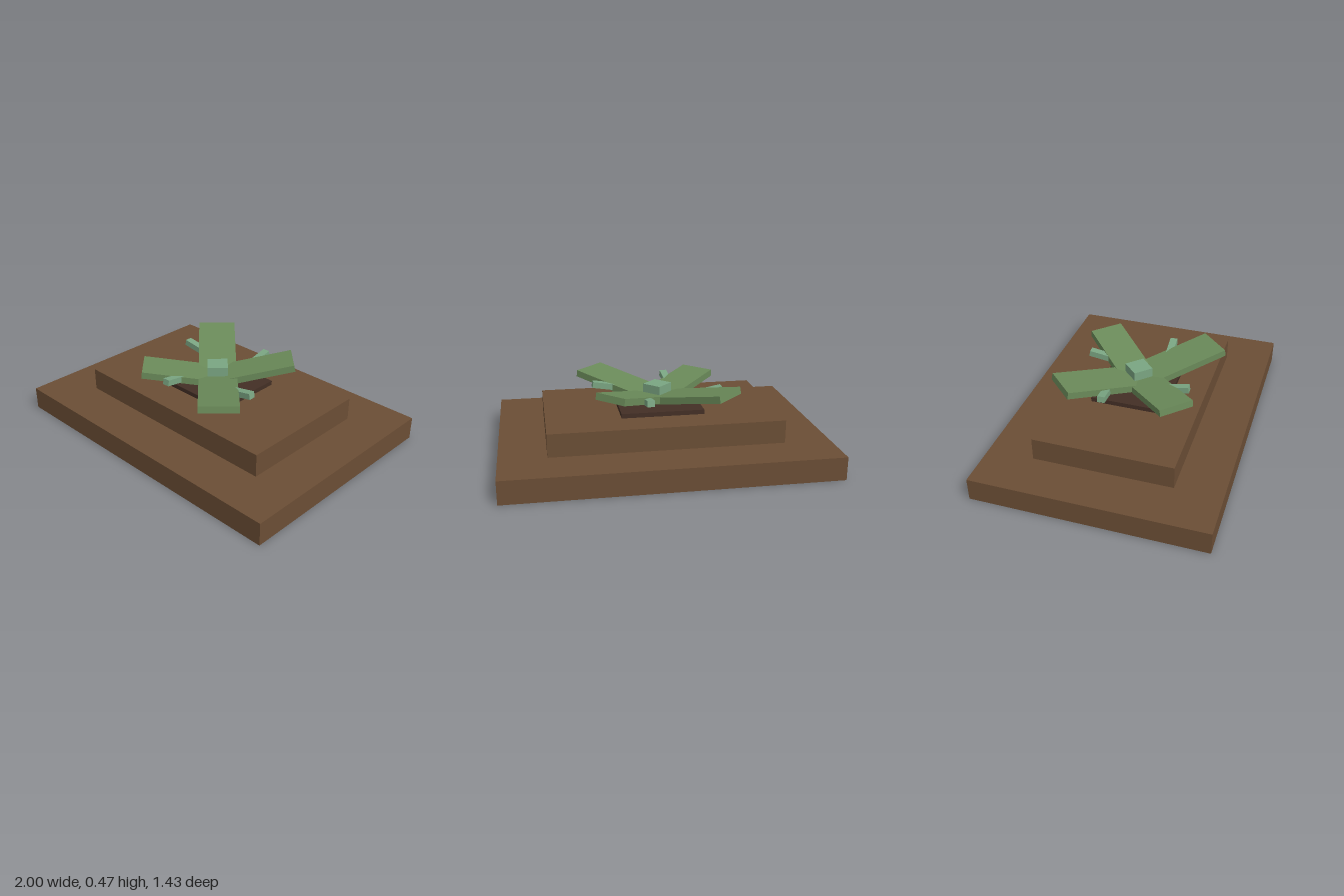
import * as THREE from 'three';

const material = (name, color) => {
  const m = new THREE.MeshStandardMaterial({ color });
  m.name = name;
  return m;
};

export function createModel() {
  const model = new THREE.Group();
  model.name = 'steppedPlinthWithPlant';
  const wood = material('brown wood', 0x6b4e35);
  const soil = material('dark soil', 0x432f25);
  const green = material('leaf green', 0x6a8a59);
  const mint = material('pale green', 0x7aa582);

  const box = (name, w, h, d, y, mat) => {
    const mesh = new THREE.Mesh(new THREE.BoxGeometry(w, h, d), mat);
    mesh.name = name;
    mesh.position.y = y;
    model.add(mesh);
    return mesh;
  };

  // Stepped base and soil slab
  box('lowerStep', 2, 0.143, 1.428, 0.0715, wood);
  box('upperStep', 1.428, 0.143, 0.856, 0.2145, wood);
  box('soilSlab', 0.512, 0.028, 0.456, 0.3, soil);

  // Broad leaves rising outward from the centre: [yaw, length, width, slope]
  const leaves = [
    [-Math.PI / 4, 0.57, 0.24, 0.155],
    [Math.PI / 4, 0.485, 0.216, 0.222],
    [Math.PI * 3 / 4, 0.545, 0.24, 0.2],
    [-Math.PI * 3 / 4, 0.475, 0.222, 0.14],
  ];
  for (const [yaw, length, width, slope] of leaves) {
    const leaf = box('leaf', length, 0.043, width, 0.34, green);
    leaf.geometry.translate(length / 2, 0, 0);
    leaf.rotation.set(0, yaw, slope, 'YXZ');
  }

  // Small sprouts between the leaves: [quarter turn, outward, sideways, height]
  const sprouts = [
    [0, 0.3, 0.125, 0.39],
    [1, 0.258, 0.1, 0.395],
    [2, 0.29, 0.12, 0.395],
    [3, 0.252, 0.103, 0.378],
  ];
  for (const [turn, out, side, y] of sprouts) {
    const sprout = box('sprout', 0.2, 0.038, 0.046, y, mint);
    const a = turn * Math.PI / 2;
    sprout.position.x = Math.cos(a) * out + Math.sin(a) * side;
    sprout.position.z = -Math.sin(a) * out + Math.cos(a) * side;
    sprout.rotation.set(0, a + 0.05, 0.17, 'YXZ');
  }

  // Central bud
  box('bud', 0.126, 0.08, 0.126, 0.39, mint).rotation.y = Math.PI / 4;

  return model;
}
